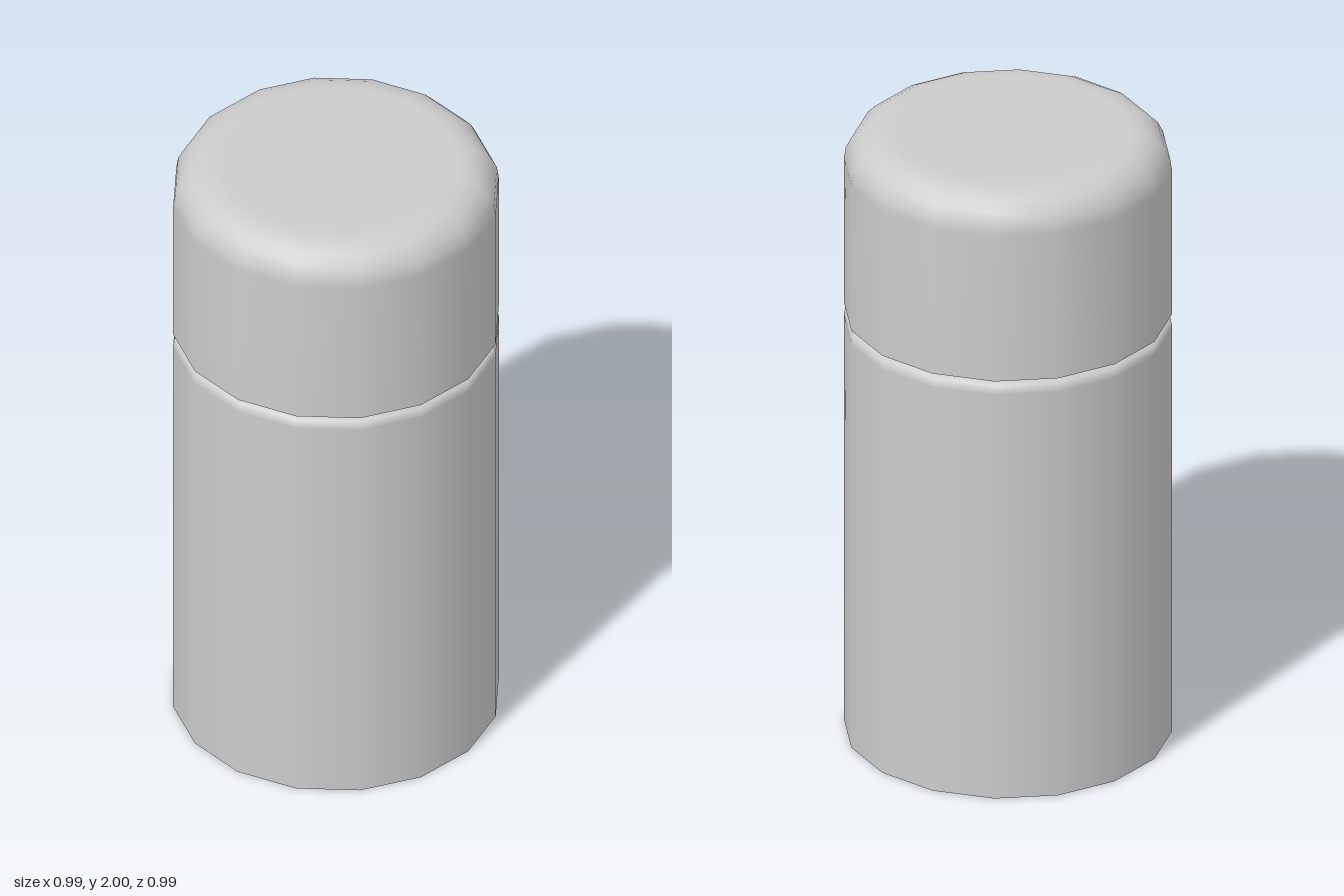
import * as THREE from 'three';

const SIDES = 16;
const RADIUS = 0.494;
const NECK = 0.465;

export function createModel() {
  const group = new THREE.Group();
  group.name = 'flask';
  const grey = new THREE.MeshStandardMaterial({ color: 0xcccccc, side: THREE.DoubleSide });
  grey.name = 'grey';

  // Revolve a [radius, height] profile, listed from bottom to top
  const turn = (name, profile) => {
    const points = profile.map(([r, y]) => new THREE.Vector2(r, y));
    const mesh = new THREE.Mesh(new THREE.LatheGeometry(points, SIDES), grey);
    mesh.name = name;
    group.add(mesh);
  };

  // Open-bottomed body with a softened upper rim
  turn('body', [[RADIUS, 0], [RADIUS, 1.355], [RADIUS, 1.36], [0.49, 1.383], [NECK, 1.387]]);

  // Recessed seam between body and lid
  turn('neck', [[NECK, 1.387], [NECK, 1.4]]);
  turn('lidUnderside', [[NECK, 1.4], [RADIUS, 1.4]]);

  // Lid with a rounded shoulder
  const shoulder = [];
  const steps = 5;
  for (let i = 0; i <= steps; i++) {
    const a = (i / steps) * Math.PI / 2;
    shoulder.push([RADIUS - 0.115 * (1 - Math.cos(a)), 1.885 + 0.115 * Math.sin(a)]);
  }
  turn('lid', [[RADIUS, 1.4], ...shoulder, [0.36, 2], [0, 2]]);

  return group;
}
